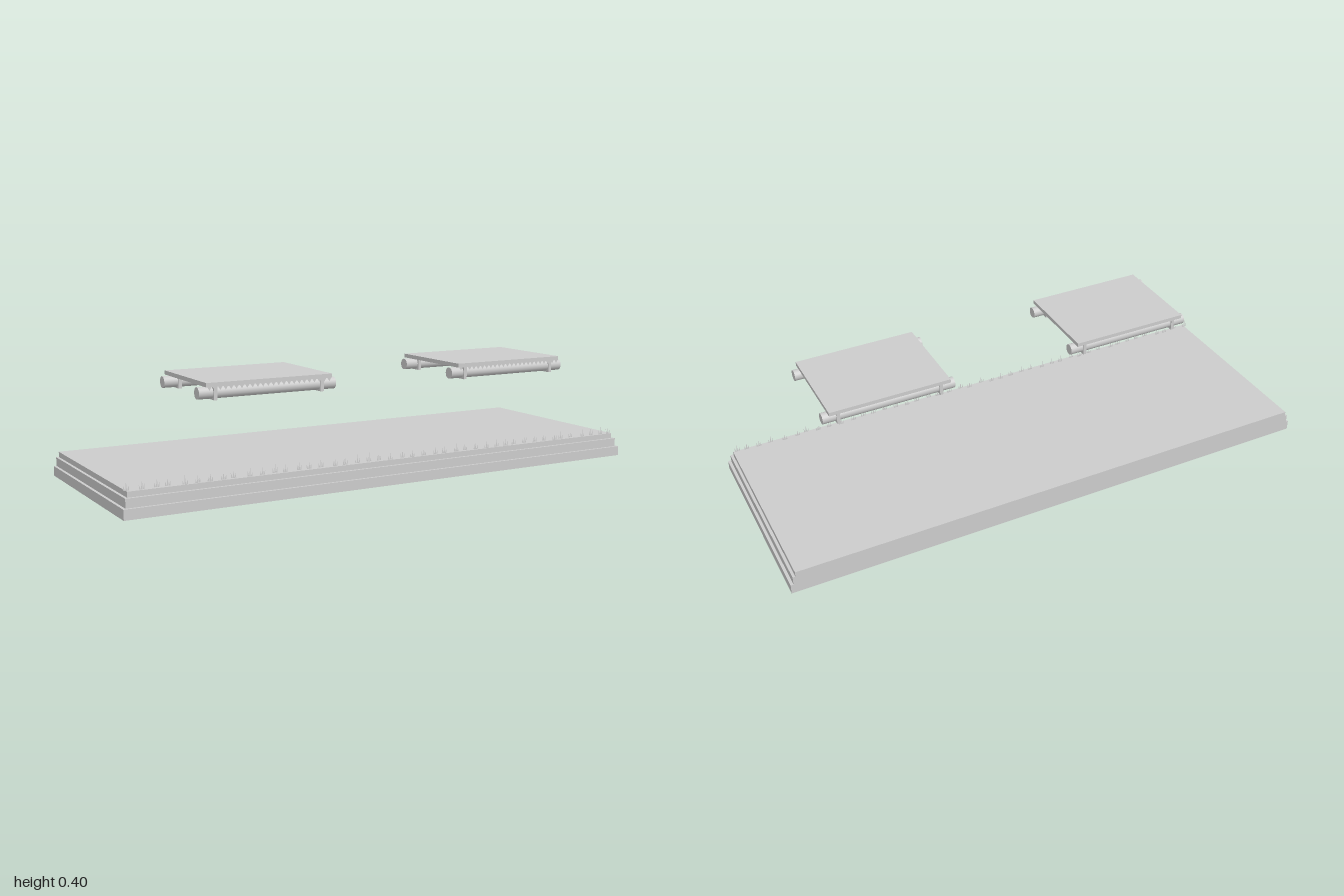
import * as THREE from 'three';

const grey = new THREE.MeshStandardMaterial({ color: 0xcccccc });
const thin = new THREE.MeshStandardMaterial({ color: 0xcccccc, side: THREE.DoubleSide });

function add(parent, name, geometry, x, y, z, material = grey) {
  const mesh = new THREE.Mesh(geometry, material);
  mesh.name = name;
  mesh.position.set(x, y, z);
  parent.add(mesh);
  return mesh;
}

// Small repeatable number source, 0 to 1
function seeded(seed) {
  return () => (seed = (seed * 16807) % 2147483647) / 2147483647;
}

// Box given by its limits on each axis
function slab(parent, name, x0, x1, y0, y1, z0, z1) {
  const geometry = new THREE.BoxGeometry(x1 - x0, y1 - y0, z1 - z0);
  add(parent, name, geometry, (x0 + x1) / 2, (y0 + y1) / 2, (z0 + z1) / 2);
}

// One tuft: flat pointed blades leaning outwards
function tuftGeometry(random) {
  const blades = [-1, 0, 1].map((side) => {
    const base = side * 0.006;
    const tip = base + side * 0.003 + (random() - 0.5) * 0.004;
    const height = (side === 0 ? 0.024 : 0.013) + random() * 0.007;
    return new THREE.Shape([
      new THREE.Vector2(base - 0.003, 0),
      new THREE.Vector2(base + 0.003, 0),
      new THREE.Vector2(tip, height),
    ]);
  });
  return new THREE.ShapeGeometry(blades);
}

// Saw-tooth fringe hanging from y = 0
function fringeGeometry(width, teeth, depth) {
  const step = width / teeth;
  const points = [new THREE.Vector2(width / 2, 0), new THREE.Vector2(-width / 2, 0)];
  for (let i = 0; i < teeth; i++) {
    const x = -width / 2 + i * step;
    points.push(new THREE.Vector2(x, -depth * 0.4), new THREE.Vector2(x + step / 2, -depth));
  }
  points.push(new THREE.Vector2(width / 2, -depth * 0.4));
  return new THREE.ShapeGeometry(new THREE.Shape(points));
}

function createPlatform() {
  const platform = new THREE.Group();
  platform.name = 'floatingPlatform';
  slab(platform, 'deck', -0.226, 0.226, 0.387, 0.401, -0.01, 0.342);
  add(platform, 'deckFringe', fringeGeometry(0.45, 24, 0.024), 0, 0.4, 0.343, thin);

  // Round rails below the deck, each held by two square brackets
  const rail = new THREE.CylinderGeometry(0.02, 0.02, 0.494, 20).rotateZ(Math.PI / 2);
  for (const z of [0.0185, 0.3135]) {
    add(platform, 'rail', rail, 0, 0.366, z);
    for (const x of [-0.192, 0.192]) {
      slab(platform, 'railBracket', x - 0.006, x + 0.006, 0.343, 0.387, z - 0.0235, z + 0.0235);
    }
  }
  return platform;
}

export function createModel() {
  const model = new THREE.Group();
  model.name = 'platformScene';

  // Ground in three steps, flush at the back
  const ground = new THREE.Group();
  ground.name = 'ground';
  slab(ground, 'lowerStep', -1, 1, 0, 0.035, -0.366, 0.367);
  slab(ground, 'middleStep', -0.99, 0.99, 0.035, 0.066, -0.366, 0.357);
  slab(ground, 'upperStep', -0.98, 0.98, 0.066, 0.085, -0.366, 0.347);
  model.add(ground);

  // Grass along the front edge
  const random = seeded(71);
  const grass = new THREE.Group();
  grass.name = 'grass';
  const tufts = 44;
  for (let i = 0; i < tufts; i++) {
    const x = -0.97 + (1.94 * i) / (tufts - 1) + (random() - 0.5) * 0.016;
    add(grass, 'grassTuft', tuftGeometry(random), x, 0.085, 0.331 + random() * 0.013, thin);
  }
  model.add(grass);

  // Pair of floating platforms
  for (const x of [-0.483, 0.482]) {
    const platform = createPlatform();
    platform.position.x = x;
    model.add(platform);
  }
  return model;
}
